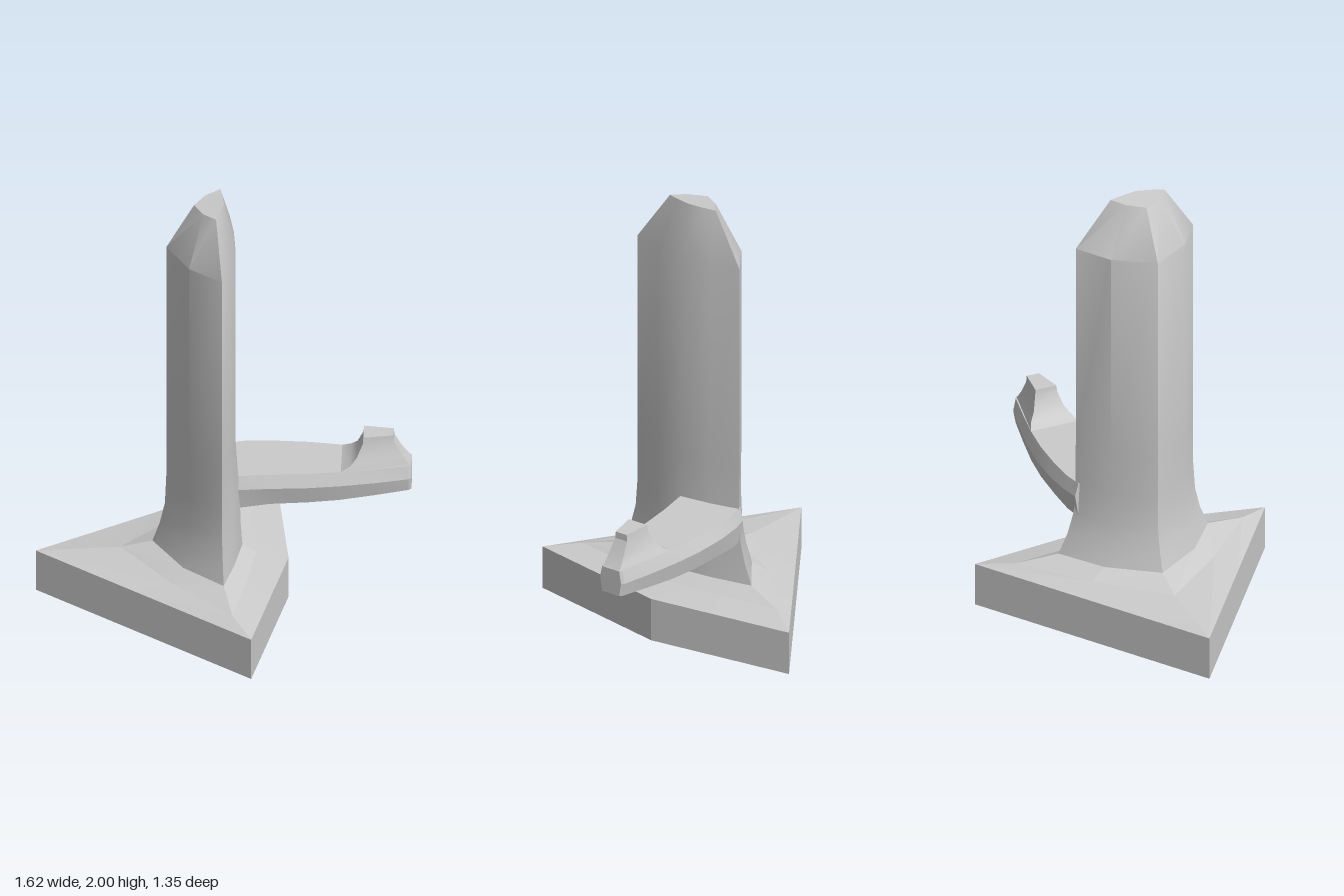
import * as THREE from 'three';
import { toCreasedNormals } from 'three/addons/utils/BufferGeometryUtils.js';

const material = new THREE.MeshStandardMaterial({ color: 0xcccccc });

// Skins a stack of equal-length rings and closes both ends.
function loft(name, rings, crease) {
  const n = rings[0].length;
  const index = [];
  for (let r = 0; r < rings.length - 1; r++) {
    for (let i = 0; i < n; i++) {
      const a = r * n + i, b = r * n + (i + 1) % n;
      index.push(a, b, b + n, a, b + n, a + n);
    }
  }
  const last = (rings.length - 1) * n;
  for (let i = 1; i < n - 1; i++) {
    index.push(0, i + 1, i, last, last + i, last + i + 1);
  }
  const geometry = new THREE.BufferGeometry();
  geometry.setAttribute('position', new THREE.Float32BufferAttribute(rings.flat(2), 3));
  geometry.setIndex(index);
  const mesh = new THREE.Mesh(toCreasedNormals(geometry, crease), material);
  mesh.name = name;
  return mesh;
}

// Kite-shaped ring: left, front, right and back corners, left sides bulged.
function kite(y, L, F, R, B, bulge = 1, lift = [0, 0, 0, 0]) {
  const corners = [L, F, R, B];
  const push = [[-0.02, 0.037], [0.006, 0.003], [0.006, -0.003], [-0.02, -0.037]];
  return corners.flatMap((p, i) => {
    const j = (i + 1) % 4, q = corners[j];
    return [
      [p[0], y + lift[i], p[1]],
      [(p[0] + q[0]) / 2 + push[i][0] * bulge, y + (lift[i] + lift[j]) / 2,
        (p[1] + q[1]) / 2 + push[i][1] * bulge],
    ];
  });
}

// Hexagonal arm section at x: widest at mid height, flat above and below.
function armSection(x, front, back, bottom, inset) {
  return [
    [x, bottom, front - inset], [x, bottom, back + inset], [x, 0.55, back],
    [x, 0.61, back + inset], [x, 0.61, front - inset], [x, 0.55, front],
  ];
}

// Four-sided knob section, narrower at the arm's tip.
function knobSection(y, x0, x1, front0, back0, front1, back1) {
  return [[x0, y, front0], [x1, y, front1], [x1, y, back1], [x0, y, back0]];
}

export function createModel() {
  const group = new THREE.Group();

  // Kite-shaped plinth with a sloping top
  const outline = [[-0.815, -0.02], [0.14, 0.675], [0.28, 0], [0.2, -0.675]];
  group.add(loft('base', [
    kite(0, ...outline, 0),
    kite(0.2, ...outline, 0),
    kite(0.227, [-0.45, -0.02], [0.055, 0.53], [0.14, 0], [0.09, -0.53], 0.6),
    kite(0.265, [-0.31, -0.015], [0.01, 0.345], [0.08, 0], [0.03, -0.355]),
  ], 0.1));

  // Upright column: flared foot, straight shaft, tapered top
  group.add(loft('column', [
    kite(0.265, [-0.31, -0.015], [0.01, 0.345], [0.08, 0], [0.03, -0.355]),
    kite(0.36, [-0.278, -0.013], [0.005, 0.305], [0.073, 0], [0.024, -0.315]),
    kite(0.46, [-0.256, -0.012], [0.001, 0.28], [0.07, 0], [0.02, -0.288]),
    kite(0.6, [-0.25, -0.01], [0, 0.27], [0.063, 0], [0.018, -0.28]),
    kite(0.8, [-0.25, -0.01], [0, 0.27], [0.05, 0], [0.015, -0.28]),
    kite(1.77, [-0.25, -0.01], [0, 0.27], [0.05, 0], [0.015, -0.28]),
    kite(2, [-0.13, -0.01], [-0.03, 0.12], [0, 0], [-0.02, -0.13], 0.4, [-0.014, -0.004, 0, -0.004]),
  ], 0.45));

  // Curved arm reaching out to the left
  group.add(loft('arm', [
    armSection(0, 0.02, -0.29, 0.445, 0.016),
    armSection(0.08, 0.015, -0.308, 0.45, 0.018),
    armSection(0.2, 0.003, -0.318, 0.46, 0.022),
    armSection(0.36, -0.008, -0.312, 0.464, 0.022),
    armSection(0.5, -0.028, -0.292, 0.469, 0.019),
    armSection(0.65, -0.058, -0.262, 0.478, 0.018),
    armSection(0.795, -0.095, -0.225, 0.488, 0.012),
    armSection(0.808, -0.105, -0.215, 0.49, 0.01),
  ], 0.25));

  // Raised knob with concave sides at the arm's end
  group.add(loft('knob', [
    knobSection(0.608, 0.5, 0.805, -0.047, -0.273, -0.115, -0.205),
    knobSection(0.63, 0.545, 0.787, -0.064, -0.253, -0.118, -0.202),
    knobSection(0.66, 0.572, 0.765, -0.085, -0.228, -0.122, -0.198),
    knobSection(0.72, 0.598, 0.732, -0.105, -0.21, -0.13, -0.192),
    knobSection(0.75, 0.6, 0.73, -0.108, -0.207, -0.132, -0.19),
  ], 0.4));

  return group;
}
